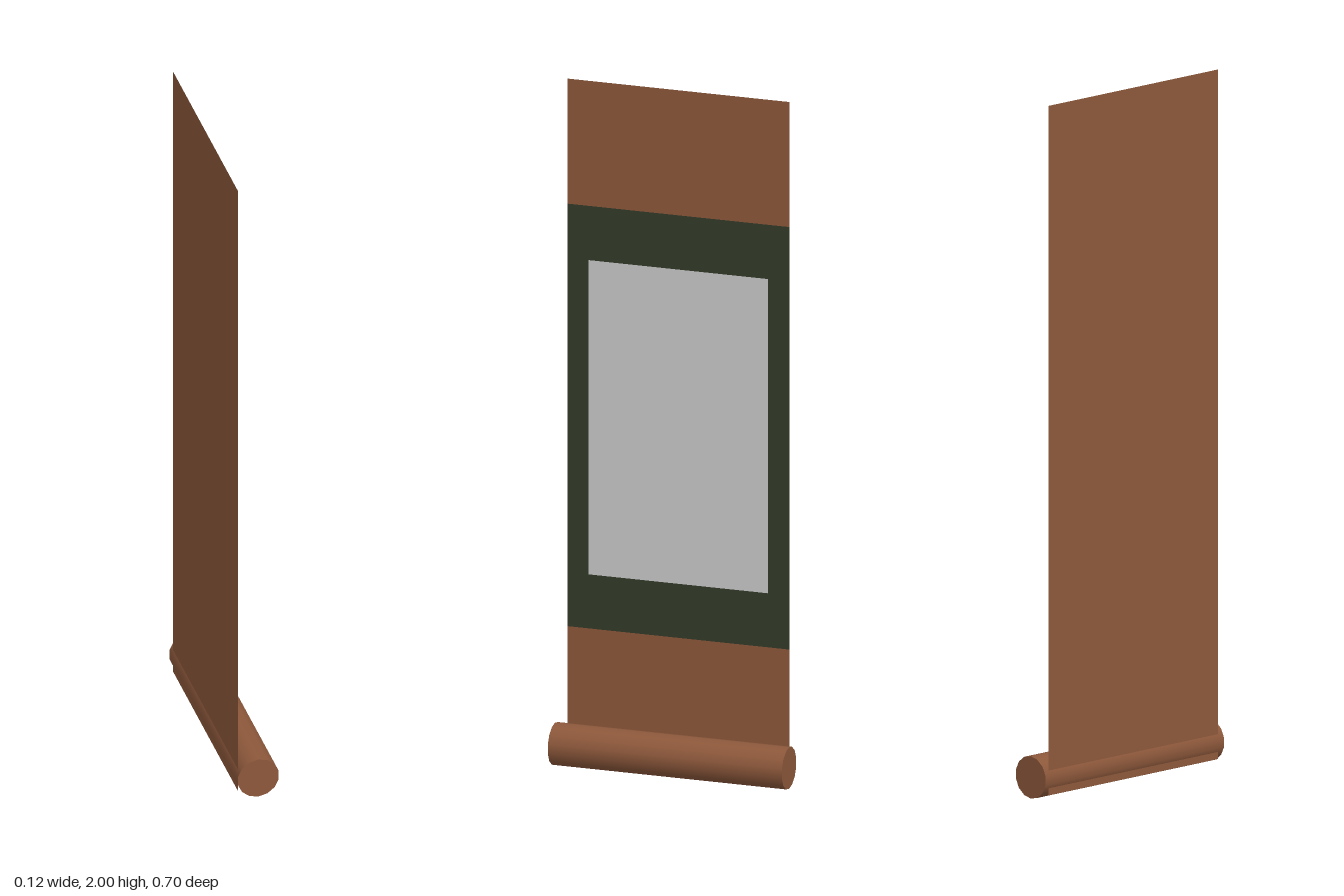
import * as THREE from 'three';

const BROWN = new THREE.MeshStandardMaterial({ color: 0x8d583b, side: THREE.DoubleSide });
const GREEN = new THREE.MeshStandardMaterial({ color: 0x333c2a });
const GREY = new THREE.MeshStandardMaterial({ color: 0xcccccc });

const SHEET_X = -0.0537;
const LAYER = 0.001;

// Upright panel facing +x, given by its bottom, top and half width along z
function panel(name, bottom, top, halfWidth, layer, material) {
  const geometry = new THREE.PlaneGeometry(halfWidth * 2, top - bottom);
  geometry.rotateY(Math.PI / 2);
  const mesh = new THREE.Mesh(geometry, material);
  mesh.name = name;
  mesh.position.set(SHEET_X + layer * LAYER, (bottom + top) / 2, 0);
  return mesh;
}

export function createModel() {
  const group = new THREE.Group();
  group.name = 'hangingScroll';

  // Cloth backing with the mounting and the picture laid on its front
  group.add(panel('backing', 0.015, 2, 0.331, 0, BROWN));
  group.add(panel('mounting', 0.392, 1.633, 0.331, 1, GREEN));
  group.add(panel('picture', 0.551, 1.474, 0.267, 2, GREY));

  // Rolled end, lying along z, with a corner at the top
  const radius = 0.061;
  const rollGeometry = new THREE.CylinderGeometry(radius, radius, 0.698, 14);
  rollGeometry.rotateX(Math.PI / 2);
  const roll = new THREE.Mesh(rollGeometry, BROWN);
  roll.name = 'roller';
  roll.position.y = radius;
  group.add(roll);

  return group;
}
